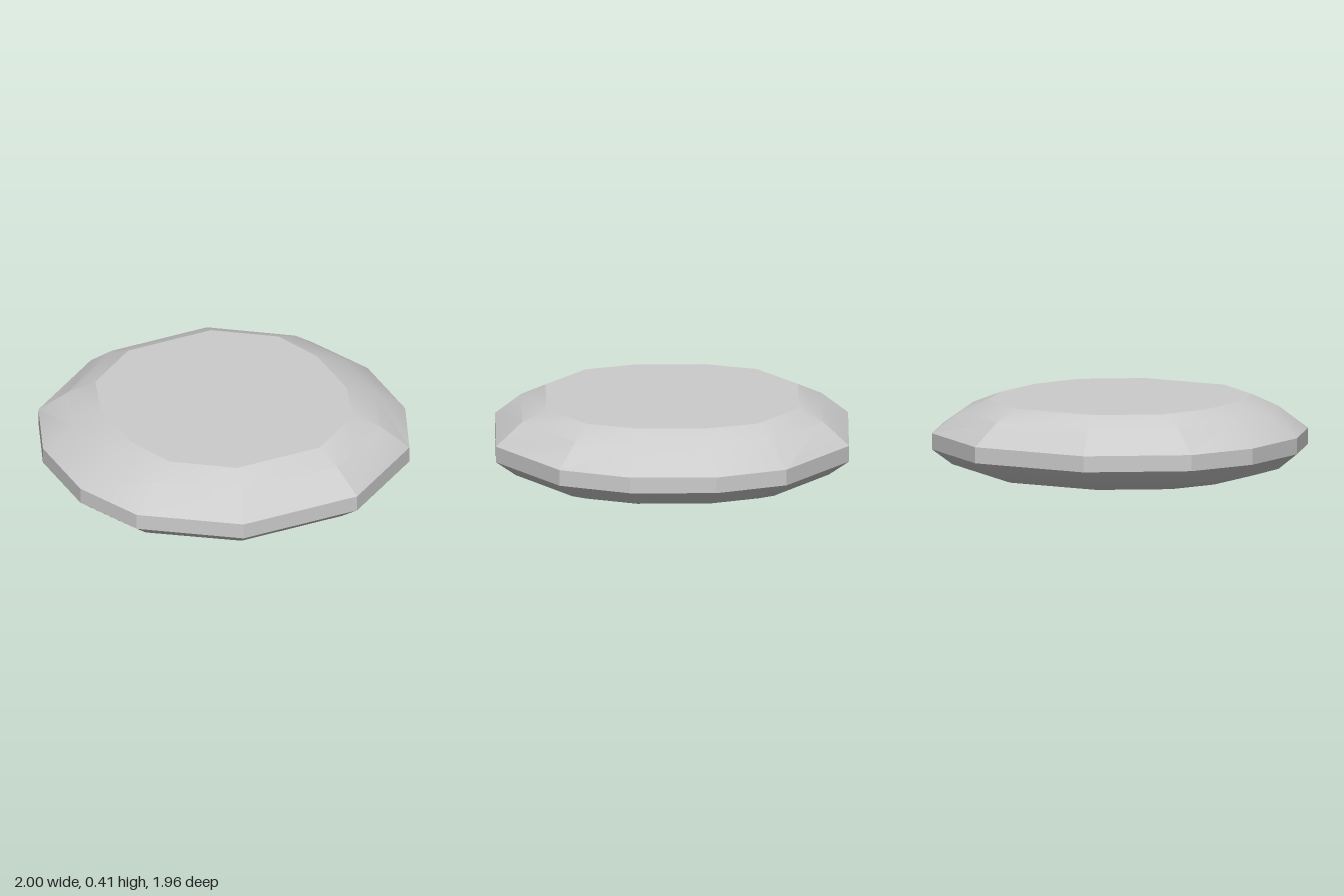
import * as THREE from 'three';
import { toCreasedNormals } from 'three/addons/utils/BufferGeometryUtils.js';

// One quadrant (x, z) of each twelve-sided cross-section, from the side to the front
const sections = [
  { y: 0.0, pts: [[0.73, 0.2], [0.62, 0.48], [0.28, 0.72]] },
  { y: 0.05, pts: [[0.9, 0.21], [0.75, 0.56], [0.31, 0.87]] },
  { y: 0.135, pts: [[1, 0.24], [0.84, 0.63], [0.35, 0.98]] },
  { y: 0.225, pts: [[1, 0.24], [0.84, 0.63], [0.35, 0.98]] },
  { y: 0.35, pts: [[0.83, 0.2], [0.7, 0.54], [0.295, 0.835]] },
  { y: 0.415, pts: [[0.665, 0.19], [0.565, 0.475], [0.255, 0.7]] },
];

// Mirror a quadrant into a full ring running from +x towards +z
function fullRing({ y, pts }) {
  const back = [...pts].reverse();
  return [
    ...pts.map(([x, z]) => [x, y, z]),
    ...back.map(([x, z]) => [-x, y, z]),
    ...pts.map(([x, z]) => [-x, y, -z]),
    ...back.map(([x, z]) => [x, y, -z]),
  ];
}

// Skin the rings with quads and close both ends with flat caps
function loft(rings) {
  const n = rings[0].length, last = rings.length - 1;
  const positions = rings.flat(2);
  const bottom = rings.length * n, top = bottom + 1;
  positions.push(0, rings[0][0][1], 0, 0, rings[last][0][1], 0);
  const index = [];
  for (let i = 0; i < n; i++) {
    const j = (i + 1) % n;
    for (let r = 0; r < last; r++) {
      const a = r * n + i, b = r * n + j;
      index.push(a, a + n, b, b, a + n, b + n);
    }
    index.push(bottom, i, j, top, last * n + j, last * n + i);
  }
  const geometry = new THREE.BufferGeometry();
  geometry.setAttribute('position', new THREE.Float32BufferAttribute(positions, 3));
  geometry.setIndex(index);
  return toCreasedNormals(geometry, THREE.MathUtils.degToRad(20));
}

export function createModel() {
  const group = new THREE.Group();
  group.name = 'facetedDisc';
  const material = new THREE.MeshStandardMaterial({ color: 0xcccccc });
  const body = new THREE.Mesh(loft(sections.map(fullRing)), material);
  body.name = 'discBody';
  group.add(body);
  return group;
}
